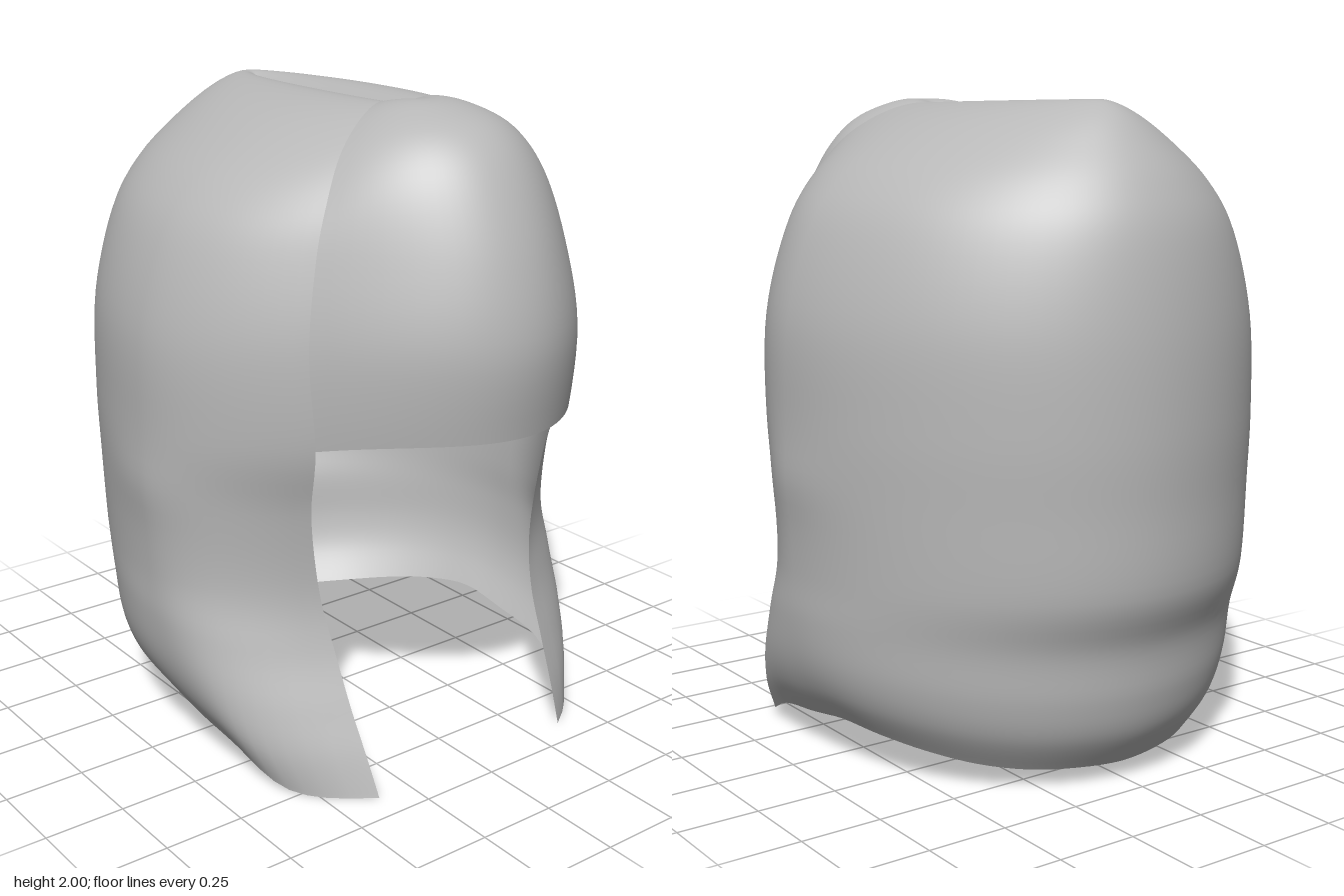
import * as THREE from 'three';

// Rows from hem to crown: height, half width, depth behind, front edge x, front edge z, front corner squareness
const SHELL = [
  [0.00, 0.625, 0.66, 0.365, 0.66, 4],
  [0.12, 0.685, 0.735, 0.375, 0.61, 3.8],
  [0.25, 0.72, 0.77, 0.385, 0.55, 3.4],
  [0.42, 0.735, 0.79, 0.395, 0.48, 2.8],
  [0.60, 0.735, 0.85, 0.42, 0.44, 2.2],
  [0.85, 0.745, 0.862, 0.455, 0.45, 2],
  [1.07, 0.75, 0.87, 0.475, 0.50, 2],
  [1.35, 0.738, 0.862, 0.488, 0.49, 2],
  [1.60, 0.665, 0.825, 0.445, 0.465, 2],
  [1.75, 0.565, 0.765, 0.39, 0.44, 2],
  [1.87, 0.41, 0.68, 0.31, 0.395, 2],
  [1.95, 0.255, 0.60, 0.20, 0.34, 2],
  [1.985, 0.11, 0.52, 0.09, 0.29, 2],
  [1.965, 0.00, 0.45, 0.00, 0.27, 2],
];
const FRINGE_START = 6;
// Centre line of the fringe, one row per shell row from FRINGE_START up: y, z
const FRINGE = [
  [1.11, 0.845], [1.36, 0.875], [1.60, 0.83], [1.81, 0.74],
  [1.93, 0.64], [1.985, 0.51], [2.00, 0.39], [1.965, 0.27],
];
// Lift of the hem from the front edge round to the back centre
const HEM = [[0], [0.005], [0.085], [0.115], [0.14], [0.125], [0.1], [0.075], [0.06], [0.055], [0.05]];

// Smooth interpolation through table rows at a fractional row index
function sample(table, f) {
  const last = table.length - 1;
  const i = Math.min(Math.floor(f), last - 1);
  const t = f - i;
  const row = (k) => table[Math.max(0, Math.min(last, k))];
  return table[i].map((p1, c) => {
    const p0 = row(i - 1)[c], p2 = row(i + 1)[c], p3 = row(i + 2)[c];
    return p1 + 0.5 * t * (p2 - p0 + t * (2 * p0 - 5 * p1 + 4 * p2 - p3 + t * (3 * (p1 - p2) + p3 - p0)));
  });
}

// Open sheet whose points follow fn(u, v)
function sheet(name, nu, nv, fn, material) {
  const geometry = new THREE.PlaneGeometry(1, 1, nu, nv);
  const pos = geometry.attributes.position;
  const uv = geometry.attributes.uv;
  for (let i = 0; i < pos.count; i++) pos.setXYZ(i, ...fn(uv.getX(i), uv.getY(i)));
  geometry.computeVertexNormals();
  const mesh = new THREE.Mesh(geometry, material);
  mesh.name = name;
  return mesh;
}

// Hair round the sides and back, meeting itself along the parting
function shellPoint(u, v) {
  const [y, w, b, xe, ze, power] = sample(SHELL, v * (SHELL.length - 1));
  const side = u <= 0.5 ? 1 : -1;
  const s = 1 - Math.abs(2 * u - 1);
  const split = 0.35;
  let x, z;
  if (s < split) {
    const k = 1 - s / split;
    x = w - (w - xe) * k ** power;
    z = ze * k;
  } else {
    const a = ((s - split) / (1 - split)) * Math.PI / 2;
    // the left back quarter is slightly flatter
    const full = side > 0 ? 1 - 0.025 * Math.sin(2 * a) ** 2 : 1;
    x = w * Math.cos(a) * full;
    z = -b * Math.sin(a) * full;
  }
  // slight bulge over the ears
  x += 0.01 * Math.exp(-(((y - 0.88) / 0.1) ** 2) - ((z / 0.2) ** 2));
  const lift = sample(HEM, s * (HEM.length - 1))[0] * Math.max(0, 1 - y / 0.6);
  return [side * x, y + lift, z];
}

// Rounded fringe bulging forward between the front edges
function fringePoint(u, v) {
  const f = v * (FRINGE.length - 1);
  const [ye, , , xe, ze] = sample(SHELL, FRINGE_START + f);
  const [yc, zc] = sample(FRINGE, f);
  const q = 2 * u - 1;
  return [q * xe, yc + (ye - yc) * q ** 4, zc + (ze - zc) * q * q];
}

export function createModel() {
  const group = new THREE.Group();
  group.name = 'hair';
  const grey = new THREE.MeshStandardMaterial({ color: 0xb8b8b8, side: THREE.DoubleSide });
  grey.name = 'hair grey';
  group.add(
    sheet('sidesAndBack', 80, 78, shellPoint, grey),
    sheet('fringe', 32, 42, fringePoint, grey),
  );
  return group;
}
